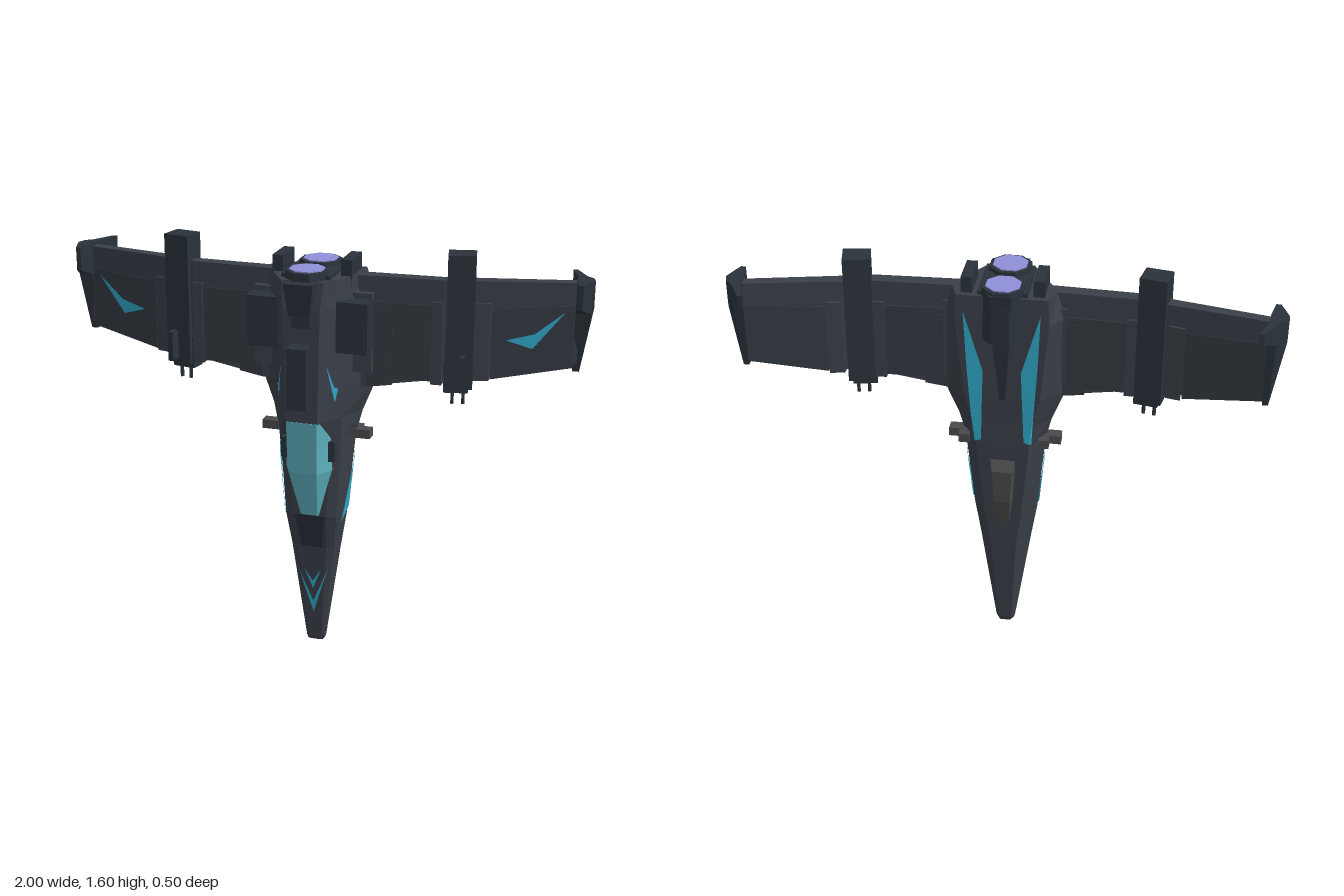
import * as THREE from 'three';

const mat = (color) => new THREE.MeshStandardMaterial({ color, flatShading: true, side: THREE.DoubleSide });
const HULL = mat(0x3a3f48), DARK = mat(0x2a323b), PANEL = mat(0x343a42);
const CYAN = mat(0x2fa8c8), GLASS = mat(0x5fb4c2), GLOW = mat(0x8f8fd8), METAL = mat(0x4a4a4c);

// Skin a list of equal-length rings and close both ends
function loft(rings) {
  const out = [], n = rings[0].length;
  const tri = (...p) => p.forEach((q) => out.push(...q));
  for (let i = 0; i < rings.length - 1; i++) {
    for (let j = 0; j < n; j++) {
      const k = (j + 1) % n, a = rings[i], b = rings[i + 1];
      tri(a[j], a[k], b[k]);
      tri(a[j], b[k], b[j]);
    }
  }
  const first = rings[0], last = rings[rings.length - 1];
  for (let j = 1; j < n - 1; j++) {
    tri(first[0], first[j + 1], first[j]);
    tri(last[0], last[j], last[j + 1]);
  }
  return fromPositions(out);
}

function fromPositions(out) {
  const g = new THREE.BufferGeometry();
  g.setAttribute('position', new THREE.Float32BufferAttribute(out, 3));
  g.computeVertexNormals();
  return g;
}

// Mirror across x, keeping the faces outward
function mirror(geometry) {
  const g = geometry.index ? geometry.toNonIndexed() : geometry, p = g.attributes.position, out = [];
  for (let i = 0; i < p.count; i += 3) {
    for (const k of [i, i + 2, i + 1]) out.push(-p.getX(k), p.getY(k), p.getZ(k));
  }
  return fromPositions(out);
}

// Box given by its limits on each axis
function box(x0, x1, y0, y1, z0, z1) {
  return new THREE.BoxGeometry(x1 - x0, y1 - y0, z1 - z0)
    .translate((x0 + x1) / 2, (y0 + y1) / 2, (z0 + z1) / 2);
}

// Ring across the height: front, shoulder, side and back corners
const bodyRing = ([y, f, zF, m, zS, w, zM, b, zB]) => [
  [f, y, zF], [m, y, zS], [w, y, zM], [b, y, zB],
  [-b, y, zB], [-w, y, zM], [-m, y, zS], [-f, y, zF]];
// Four-cornered ring across the height: front and back half-widths
const blockRing = ([y, f, zF, b, zB]) => [[f, y, zF], [b, y, zB], [-b, y, zB], [-f, y, zF]];
// Ring across the span
const wingRing = ([x, y0, y1, z, t]) => [[x, y1, z - t], [x, y1, z + t], [x, y0, z + t], [x, y0, z - t]];
// Ring across the depth
const tipRing = ([z, x0, x1, y0, y1, cut = 0]) => [[x1 - cut, y0, z], [x1, y1 - 0.1 * (cut > 0), z], [x1, y1, z], [x0, y1, z], [x0, y0, z]];

// Flat marking, subdivided and laid on a target mesh along a direction
function marking(points, from, target) {
  const shape = new THREE.Shape(points.map(([u, v]) => new THREE.Vector2(u, v)));
  const flat = new THREE.ShapeGeometry(shape).toNonIndexed().attributes.position;
  let tris = [];
  for (let i = 0; i < flat.count; i += 3) {
    tris.push([0, 1, 2].map((k) => new THREE.Vector2(flat.getX(i + k), flat.getY(i + k))));
  }
  const mid = (a, b) => a.clone().add(b).multiplyScalar(0.5);
  for (let level = 0; level < 3; level++) {
    tris = tris.flatMap(([a, b, c]) => {
      const d = mid(a, b), e = mid(b, c), f = mid(c, a);
      return [[a, d, f], [d, b, e], [f, e, c], [d, e, f]];
    });
  }
  const place = {
    front: (p) => [new THREE.Vector3(p.x, p.y, 3), new THREE.Vector3(0, 0, -1)],
    back: (p) => [new THREE.Vector3(p.x, p.y, -3), new THREE.Vector3(0, 0, 1)],
    side: (p) => [new THREE.Vector3(3, p.y, p.x), new THREE.Vector3(-1, 0, 0)],
  }[from];
  const out = [];
  for (const t of tris) {
    const laid = t.map((p) => {
      const [origin, dir] = place(p);
      const hit = new THREE.Raycaster(origin, dir).intersectObject(target)[0];
      return hit && hit.point.addScaledVector(dir, -0.005).toArray();
    });
    if (laid.every(Boolean)) {
      if (from === 'front') out.push(...laid.flat());
      else out.push(...laid[0], ...laid[2], ...laid[1]);
    }
  }
  return fromPositions(out);
}

export function createModel() {
  const model = new THREE.Group();
  const add = (name, geometry, material) => {
    const mesh = new THREE.Mesh(geometry, material);
    mesh.name = name;
    model.add(mesh);
    return mesh;
  };
  const pair = (name, geometry, material) => {
    add(name + 'Right', mirror(geometry), material);
    return add(name + 'Left', geometry, material);
  };

  // Fuselage, nose at the bottom
  const hull = add('fuselage', loft([
    [0, 0.02, 0.015, 0.03, 0.01, 0.032, -0.01, 0.02, -0.03],
    [0.015, 0.025, 0.02, 0.035, 0.012, 0.038, -0.01, 0.025, -0.035],
    [0.42, 0.055, 0.055, 0.085, 0.04, 0.1, 0, 0.05, -0.07],
    [0.56, 0.065, 0.085, 0.1, 0.07, 0.123, 0, 0.07, -0.078],
    [0.88, 0.085, 0.09, 0.12, 0.07, 0.153, -0.01, 0.1, -0.09],
    [0.97, 0.06, 0.185, 0.12, 0.08, 0.175, -0.02, 0.11, -0.092],
    [1.09, 0.062, 0.185, 0.13, 0.08, 0.222, -0.03, 0.14, -0.097],
    [1.4, 0.07, 0.185, 0.14, 0.08, 0.22, -0.03, 0.17, -0.1],
    [1.5, 0.08, 0.17, 0.135, 0.08, 0.19, -0.03, 0.165, -0.1],
  ].map(bodyRing)), HULL);

  // Canopy
  add('canopy', loft([
    [0.56, 0.03, 0.088, 0.035, 0.084, 0.035, 0.07, 0.03, 0.06],
    [0.76, 0.05, 0.16, 0.088, 0.095, 0.088, 0.07, 0.05, 0.06],
    [0.89, 0.055, 0.177, 0.085, 0.105, 0.085, 0.08, 0.05, 0.06],
    [0.97, 0.058, 0.187, 0.066, 0.175, 0.066, 0.16, 0.05, 0.15],
  ].map(bodyRing)), GLASS);
  add('canopyFrontPanel', loft([
    [0.42, 0.04, 0.058, 0.04, 0.04], [0.565, 0.06, 0.09, 0.06, 0.06],
  ].map(blockRing)), DARK);
  pair('canopyVent', box(0.08, 0.105, 0.8, 0.88, 0.05, 0.112), DARK);

  // Dorsal blocks
  add('dorsalFin', box(-0.037, 0.037, 1.04, 1.27, 0.17, 0.25), DARK);
  add('dorsalIntake', loft([
    [1.38, 0.04, 0.212, 0.04, 0.15], [1.5, 0.055, 0.225, 0.055, 0.15],
  ].map(blockRing)), DARK);

  // Engines
  for (const [name, z] of [['frontEngine', 0.11], ['rearEngine', -0.06]]) {
    add(name, new THREE.CylinderGeometry(0.08, 0.085, 0.2, 8).rotateY(Math.PI / 8).translate(0, 1.43, z), DARK);
    add(name + 'Glow', new THREE.CylinderGeometry(0.066, 0.066, 0.004, 8).rotateY(Math.PI / 8).translate(0, 1.533, z), GLOW);
  }
  add('engineBridge', box(-0.09, 0.09, 1.4, 1.515, -0.09, 0.13), DARK);
  add('rearSpine', loft([
    [1.08, 0.012, -0.085, 0.01, -0.098], [1.3, 0.04, -0.08, 0.028, -0.12], [1.52, 0.075, -0.08, 0.04, -0.138],
  ].map(blockRing)), DARK);
  pair('enginePost', box(0.11, 0.15, 1.38, 1.56, -0.08, 0.055), DARK);

  // Side boxes and shoulder fairings
  pair('shoulderBox', box(0.11, 0.228, 1.23, 1.42, 0.02, 0.122), DARK);
  pair('shoulderFairing', box(0.13, 0.225, 1.14, 1.44, -0.04, 0.05), HULL);
  pair('sideGun', box(0.13, 0.212, 0.868, 0.902, -0.035, 0.01), METAL);
  pair('sideGunMount', box(0.13, 0.17, 0.865, 0.9, -0.07, -0.01), METAL);

  // Rear scoop
  add('rearScoop', loft([
    [0.5, 0.035, -0.06, 0.02, -0.074], [0.63, 0.045, -0.06, 0.03, -0.105],
    [0.77, 0.055, -0.06, 0.038, -0.112], [0.81, 0.055, -0.06, 0.045, -0.09],
  ].map(blockRing)), METAL);

  // Wings, swept back toward the tips
  const wingZ = (x) => (x < 0.5 ? -0.005 - (x - 0.2) * 0.04 : -0.03 - (x - 0.535) * 0.215);
  const section = (x, y0, y1, t) => [x, y0, y1, wingZ(x), t];
  const wing = pair('wing', loft([
    section(0.15, 1.07, 1.5, 0.027), section(0.3, 1.1, 1.5, 0.026), section(0.48, 1.13, 1.5, 0.025),
    section(0.59, 1.14, 1.5, 0.024), section(0.66, 1.15, 1.5, 0.023), section(0.95, 1.2, 1.5, 0.02),
  ].map(wingRing)), HULL);
  pair('wingRootPanel', loft([
    section(0.2, 1.08, 1.38, 0.032), section(0.295, 1.095, 1.38, 0.032)].map(wingRing)), PANEL);
  pair('wingInnerPanel', loft([
    section(0.225, 1.12, 1.405, 0.03), section(0.44, 1.12, 1.405, 0.03)].map(wingRing)), PANEL);
  pair('wingRib', loft([
    section(0.44, 1.11, 1.42, 0.035), section(0.48, 1.11, 1.42, 0.035)].map(wingRing)), HULL);
  pair('wingOuterRib', loft([
    section(0.59, 1.13, 1.42, 0.033), section(0.645, 1.13, 1.42, 0.033)].map(wingRing)), HULL);
  const outerPanel = pair('wingOuterPanel', loft([
    section(0.65, 1.135, 1.4, 0.026), section(0.935, 1.185, 1.415, 0.023)].map(wingRing)), PANEL);

  // Wing pods with twin barrels, tilted with the wing
  const tilt = (g) => g.rotateY(0.19).translate(0.535, 0, -0.03);
  pair('wingPod', tilt(box(-0.05, 0.05, 1.1, 1.595, -0.046, 0.046)), DARK);
  pair('wingPodFoot', tilt(box(-0.055, 0.035, 1.08, 1.2, -0.03, 0.03)), DARK);
  pair('podRail', tilt(box(0.002, 0.022, 1.12, 1.23, 0.04, 0.085)), DARK);
  for (const [i, x] of [-0.022, 0.018].entries()) {
    pair('podBarrel' + (i + 1), tilt(new THREE.CylinderGeometry(0.007, 0.007, 0.1, 6).translate(x, 1.08, 0)), DARK);
  }

  // Bent winglets
  pair('winglet', loft([
    [-0.248, 0.9, 0.917, 1.465, 1.51], [-0.165, 0.928, 0.962, 1.425, 1.51],
    [-0.14, 0.935, 0.99, 1.17, 1.51, 0.035], [-0.105, 0.935, 1, 1.17, 1.51, 0.04],
    [-0.09, 0.938, 0.995, 1.39, 1.51], [-0.02, 0.952, 0.97, 1.42, 1.51],
  ].map(tipRing)), DARK);

  // Cyan markings
  add('noseChevron', marking([[0, 0.13], [0.06, 0.325], [0, 0.18], [-0.06, 0.325]], 'front', hull), CYAN);
  add('noseSmallChevron', marking([[0, 0.235], [0.035, 0.325], [0, 0.27], [-0.035, 0.325]], 'front', hull), CYAN);
  pair('flankStripe', marking([[-0.015, 0.83], [0, 0.585], [0.042, 0.525], [0.02, 0.64]], 'side', hull), CYAN);
  pair('shoulderStripe', marking([[0.16, 1.19], [0.125, 1.1], [0.108, 1.09], [0.12, 1.04]], 'side', hull), CYAN);
  pair('wingMark', marking([[0.905, 1.395], [0.8, 1.31], [0.7, 1.285], [0.795, 1.255]], 'front', outerPanel), CYAN);
  pair('backStripe', marking([[0.14, 1.44], [0.07, 1.2], [0.08, 0.9], [0.108, 0.89], [0.13, 1.22]], 'back', hull), CYAN);

  return model;
}
